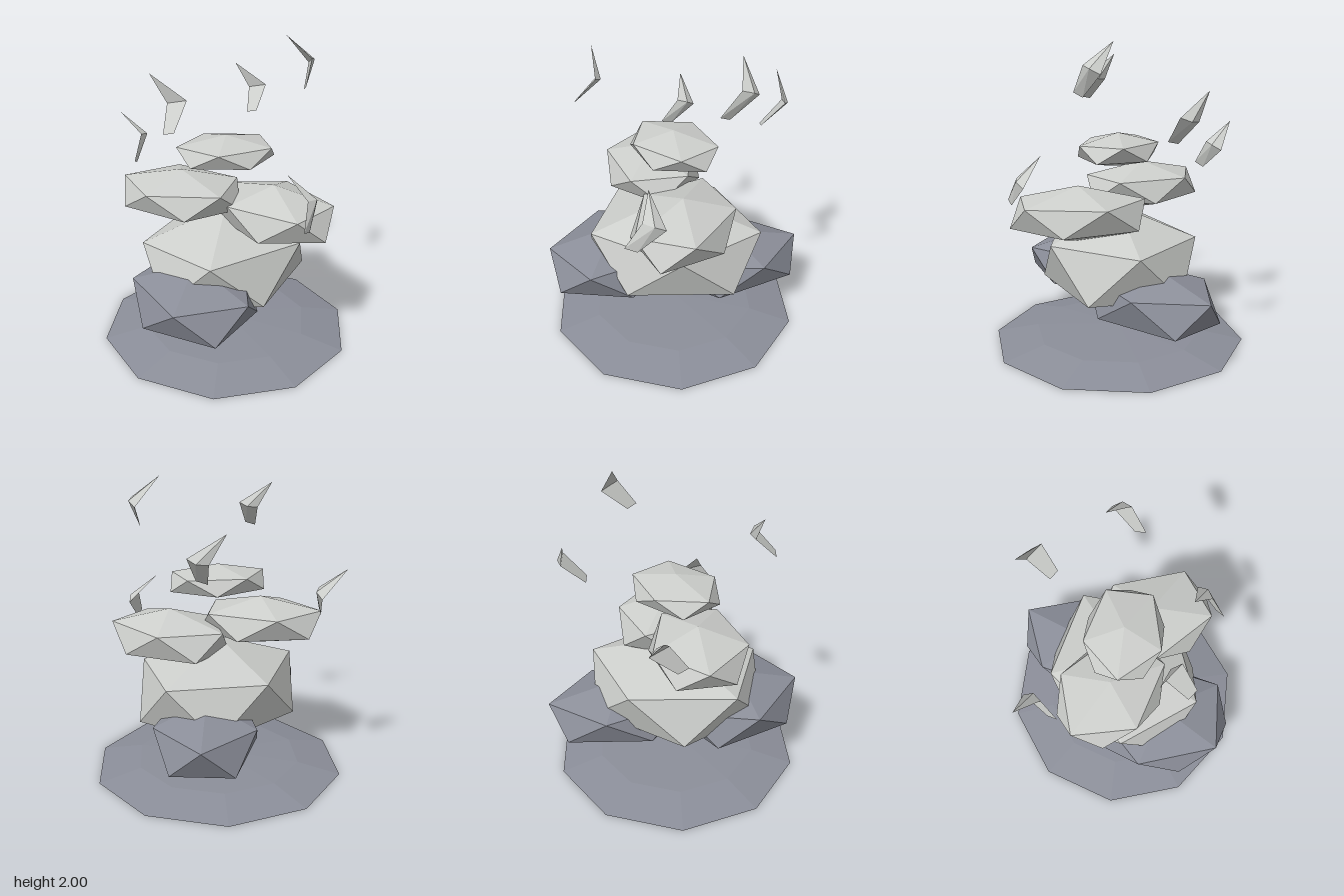
import * as THREE from 'three';

const pale = new THREE.MeshStandardMaterial({ color: 0xcccecb });
pale.name = 'pale grey';
const slate = new THREE.MeshStandardMaterial({ color: 0x8b8e99 });
slate.name = 'slate grey';

// Faceted mesh from corner points and triangles
function faceted(name, points, faces, material) {
  const g = new THREE.BufferGeometry().setFromPoints(faces.flat().map((i) => points[i]));
  g.computeVertexNormals();
  const mesh = new THREE.Mesh(g, material);
  mesh.name = name;
  return mesh;
}

// Twenty-sided puff: an upper ring of five spanned by two flat axes p and q,
// a lower ring mirrored through the centre, and a pole above and below
function puff(name, center, height, p, q, material) {
  const ring = (k, s) => {
    const a = (k * Math.PI * 2) / 5;
    return new THREE.Vector3(
      s * (p[0] * Math.cos(a) + q[0] * Math.sin(a)),
      s * height * 0.447,
      s * (p[1] * Math.cos(a) + q[1] * Math.sin(a)));
  };
  const points = [new THREE.Vector3(0, height, 0), new THREE.Vector3(0, -height, 0)];
  for (let k = 0; k < 5; k++) points.push(ring(k, 1));
  for (let k = 0; k < 5; k++) points.push(ring(k + 3, -1));
  const faces = [];
  for (let k = 0; k < 5; k++) {
    const n = (k + 1) % 5;
    const u = 2 + k, un = 2 + n, l = 7 + k, ln = 7 + n;
    faces.push([0, un, u], [u, un, l], [l, un, ln], [1, l, ln]);
  }
  const mesh = faceted(name, points, faces, material);
  mesh.position.set(...center);
  return mesh;
}

// Bent splinter: pointed tip, ridged fold in the middle, narrow edge at the end
function shard(tip, degrees) {
  const a = THREE.MathUtils.degToRad(degrees);
  const half = new THREE.Vector3(0.0175, 0.015, 0.0625).multiplyScalar(Math.cos(a))
    .add(new THREE.Vector3(-0.075, 0.02, 0).multiplyScalar(Math.sin(a)));
  const fold = new THREE.Vector3(0.075, -0.157, 0.143);
  const end = new THREE.Vector3(-0.055, -0.307, 0.2);
  const ridge = half.clone().cross(end).normalize().multiplyScalar(0.03).add(fold);
  const points = [
    new THREE.Vector3(),
    fold.clone().add(half), fold.clone().sub(half), ridge,
    end.clone().addScaledVector(half, 0.55), end.clone().addScaledVector(half, -0.55),
  ];
  const faces = [
    [0, 1, 3], [0, 3, 2], [0, 2, 1],
    [1, 4, 3], [3, 4, 5], [3, 5, 2],
    [2, 5, 4], [2, 4, 1],
  ];
  const mesh = faceted('shard', points, faces, pale);
  mesh.position.set(...tip);
  return mesh;
}

export function createModel() {
  const model = new THREE.Group();
  model.name = 'cloudStack';

  // Low ten-sided mound on the ground
  const profile = [[0, 0], [0.845, 0], [0.56, 0.057], [0, 0.085]];
  const moundShape = new THREE.LatheGeometry(
    profile.map(([x, y]) => new THREE.Vector2(x, y)), 10).rotateY(Math.PI / 10).toNonIndexed();
  moundShape.computeVertexNormals();
  const mound = new THREE.Mesh(moundShape, slate);
  mound.name = 'groundMound';
  mound.position.z = 0.013;
  model.add(mound);

  // Stacked puffs
  model.add(
    puff('mainPuff', [0, 0.57, 0.013], 0.35, [0.6, 0], [0, 0.505], pale),
    puff('frontPuff', [0.138, 0.918, 0.305], 0.182, [0.314, -0.125], [0.071, 0.415], pale),
    puff('backPuff', [-0.2, 1.02, -0.2], 0.16, [0.3, 0.224], [-0.14, 0.325], pale),
    puff('topPuff', [0, 1.3, 0.013], 0.11, [0.3, 0.035], [0.03, 0.28], pale),
    puff('rightDarkPuff', [-0.4, 0.445, 0.1], 0.22, [0.39, 0.08], [-0.14, 0.45], slate),
    puff('leftDarkPuff', [0.36, 0.39, -0.125], 0.22, [0.289, 0.208], [-0.366, 0.319], slate),
  );

  // Splinters circling the stack: tip position and twist
  const shards = new THREE.Group();
  shards.name = 'shards';
  shards.add(
    shard([0.44, 2, 0.14], 47),
    shard([-0.555, 1.89, -0.085], 0),
    shard([0.575, 1.72, -0.4], 0),
    shard([-0.16, 1.44, -0.82], 55),
    shard([-0.02, 1.27, 0.52], 78),
  );
  model.add(shards);
  return model;
}
